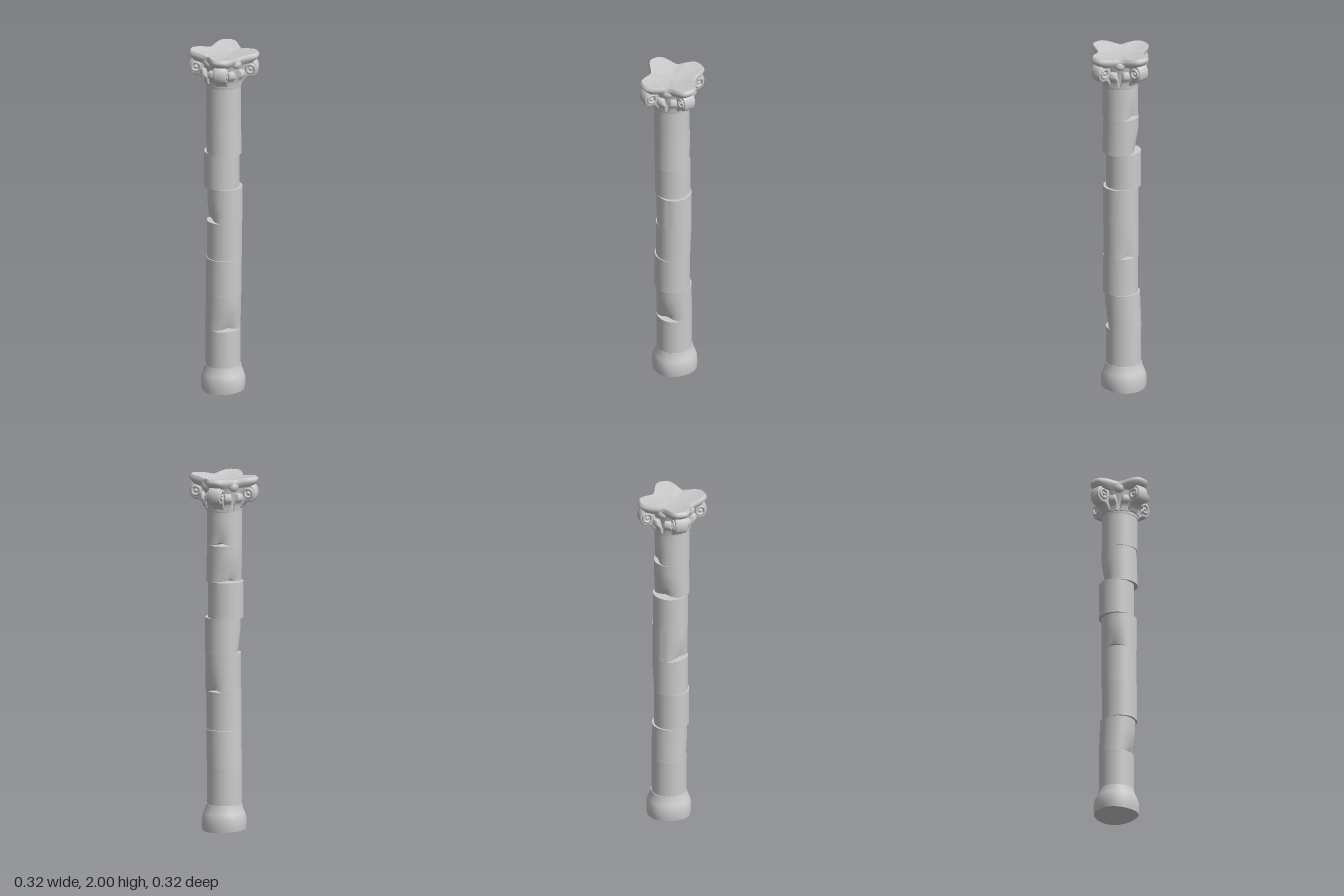
import * as THREE from 'three';
import { toCreasedNormals } from 'three/addons/utils/BufferGeometryUtils.js';

const material = new THREE.MeshStandardMaterial({ color: 0xcccccc, side: THREE.DoubleSide });

function addMesh(parent, name, geometry, crease = 0.7) {
  const mesh = new THREE.Mesh(toCreasedNormals(geometry, crease), material);
  mesh.name = name;
  parent.add(mesh);
  return mesh;
}

// Move every vertex of a geometry by a rule
function reshape(geometry, rule) {
  const p = geometry.attributes.position;
  const v = new THREE.Vector3();
  for (let i = 0; i < p.count; i++) {
    v.fromBufferAttribute(p, i);
    rule(v);
    p.setXYZ(i, v.x, v.y, v.z);
  }
  return geometry;
}

const angleGap = (a, b) => Math.abs(Math.atan2(Math.sin(a - b), Math.cos(a - b)));

// One stone drum: it may lean from its bottom centre to its top centre, with a worn rim
function addDrum(parent, index, { y, x, z, chip }) {
  const h = y[1] - y[0];
  const geometry = new THREE.CylinderGeometry(0.098, 0.098, h, 32, 6);
  reshape(geometry, (v) => {
    const t = v.y / h + 0.5;
    const r = Math.hypot(v.x, v.z);
    if (chip && r > 0.05) {
      const a = Math.atan2(v.z, v.x);
      const end = chip.top ? 1 - t : t;
      const w = Math.max(0, 1 - angleGap(a, chip.angle) / chip.width) * Math.max(0, 1 - end / 0.6);
      const k = 1 - w * chip.depth / r;
      v.x *= k;
      v.z *= k;
      if (end < 0.01) v.y += (chip.top ? -1 : 1) * w * 0.02;
    }
    v.x += THREE.MathUtils.lerp(x[0], x[1], t);
    v.z += z;
    v.y += y[0] + h / 2;
  });
  addMesh(parent, `drum${index + 1}`, geometry);
}

// Plan of the abacus: concave sides and blunt corners
function abacusRadius(a) {
  return Math.min(0.196, 0.13 + 0.075 * Math.pow(Math.abs(Math.sin(2 * a)), 2.5));
}

function addCapital(parent) {
  const capital = new THREE.Group();
  capital.name = 'capital';
  parent.add(capital);

  // Bell flaring out of the shaft
  const bell = [[0, 1.8], [0.099, 1.8], [0.103, 1.815], [0.1, 1.83], [0.104, 1.87], [0.115, 1.92], [0.125, 1.96]];
  addMesh(capital, 'bell', new THREE.LatheGeometry(bell.map((p) => new THREE.Vector2(...p)), 32));

  // Abacus with a hollowed, uneven top
  const rim = [[0.5, 1.94], [0.86, 1.945], [0.93, 1.96], [1, 1.975], [1, 1.988], [0.94, 2], [0.75, 1.994], [0.4, 1.982], [0, 1.978]];
  const abacus = new THREE.LatheGeometry(rim.map((p) => new THREE.Vector2(...p)), 64);
  reshape(abacus, (v) => {
    const s = Math.hypot(v.x, v.z);
    const a = Math.atan2(v.z, v.x);
    const corner = Math.abs(Math.sin(2 * a));
    v.y -= (1 - corner) * 0.016 * s;
    if (v.y > 1.97) v.y -= 0.006 * s * (1 - s) * Math.sin(3 * a);
    v.x *= abacusRadius(a);
    v.z *= abacusRadius(a);
  });
  addMesh(capital, 'abacus', abacus, 0.9);

  // Side outline of a corner volute, drawn as distance from the axis and height
  const voluteShape = new THREE.Shape();
  voluteShape.moveTo(0.08, 1.825);
  voluteShape.lineTo(0.105, 1.828);
  voluteShape.quadraticCurveTo(0.125, 1.868, 0.15, 1.866);
  voluteShape.bezierCurveTo(0.175, 1.862, 0.188, 1.885, 0.186, 1.915);
  voluteShape.quadraticCurveTo(0.182, 1.945, 0.16, 1.95);
  voluteShape.lineTo(0.08, 1.955);
  const voluteSolid = new THREE.ExtrudeGeometry(voluteShape, {
    depth: 0.044, bevelThickness: 0.012, bevelSize: 0.008, bevelSegments: 3, curveSegments: 8,
  }).translate(0, 0, -0.022);

  // Side outline of a leaf with a curled tip
  const leafShape = new THREE.Shape();
  leafShape.moveTo(0.085, 1.815);
  leafShape.lineTo(0.103, 1.82);
  leafShape.quadraticCurveTo(0.108, 1.865, 0.126, 1.868);
  leafShape.quadraticCurveTo(0.137, 1.88, 0.128, 1.9);
  leafShape.lineTo(0.095, 1.91);
  const leafSolid = new THREE.ExtrudeGeometry(leafShape, {
    depth: 0.036, bevelThickness: 0.01, bevelSize: 0.004, bevelSegments: 2, curveSegments: 6,
  }).translate(0, 0, -0.018);
  reshape(leafSolid, (v) => { v.z *= 1 - 0.4 * (v.y - 1.815) / 0.1; });

  for (let i = 0; i < 4; i++) {
    const corner = new THREE.Group();
    corner.name = 'cornerVolute';
    corner.rotation.y = Math.PI / 4 + i * Math.PI / 2;
    capital.add(corner);
    addMesh(corner, 'volute', voluteSolid, 0.9);
    for (const side of [-1, 1]) {
      const curl = addMesh(corner, 'voluteCurl', new THREE.TorusGeometry(0.024, 0.008, 6, 18), 1.5);
      curl.position.set(0.153, 1.908, side * 0.034);
      const eye = addMesh(corner, 'voluteEye', new THREE.SphereGeometry(0.009, 10, 8), 1.5);
      eye.position.set(0.153, 1.908, side * 0.034);
    }

    const face = new THREE.Group();
    face.name = 'sideOrnament';
    face.rotation.y = i * Math.PI / 2;
    capital.add(face);
    for (const side of [-1, 1]) {
      const leaf = addMesh(face, 'leaf', leafSolid, 0.8);
      leaf.rotation.y = side * 0.3;
    }
    const boss = addMesh(face, 'boss', new THREE.SphereGeometry(1, 14, 10), 1.5);
    boss.scale.set(0.022, 0.028, 0.03);
    boss.position.set(0.115, 1.948, 0);
  }
}

export function createModel() {
  const column = new THREE.Group();
  column.name = 'column';

  // Flared base, slightly worn out of round
  const profile = [[0, 0.004], [0.122, 0.004], [0.125, 0.03], [0.124, 0.075], [0.116, 0.1], [0.105, 0.125], [0.1, 0.15], [0, 0.15]];
  const base = new THREE.LatheGeometry(profile.map((p) => new THREE.Vector2(...p)), 32);
  reshape(base, (v) => {
    const a = Math.atan2(v.z, v.x);
    const wear = 1 + 0.018 * Math.cos(4 * a) * (1 - v.y / 0.15);
    if (v.y < 0.01) v.y = 0.004 + 0.004 * Math.cos(2 * a + 1) * Math.hypot(v.x, v.z) / 0.122;
    v.x = v.x * wear - 0.021;
    v.z = v.z * wear - 0.01;
  });
  addMesh(column, 'base', base);

  // Shaft of shifted drums, some with a broken rim
  const drums = [
    { y: [0.14, 0.362], x: [-0.02, -0.02], z: -0.008 },
    { y: [0.36, 0.57], x: [-0.021, -0.013], z: -0.008, chip: { angle: 0.3, width: 1, depth: 0.025 } },
    { y: [0.57, 0.785], x: [-0.003, -0.003], z: -0.001 },
    { y: [0.785, 1], x: [-0.006, -0.006], z: -0.008, chip: { angle: -2, width: 0.6, depth: 0.012 } },
    { y: [1, 1.2], x: [-0.005, -0.005], z: -0.01, chip: { angle: 1.9, width: 0.9, depth: 0.02 } },
    { y: [1.2, 1.405], x: [-0.019, -0.019], z: 0.001 },
    { y: [1.4, 1.61], x: [0, -0.006], z: 0, chip: { angle: Math.PI, width: 1.1, depth: 0.022 } },
    { y: [1.61, 1.805], x: [-0.002, -0.002], z: 0.002, chip: { angle: -2.4, width: 0.6, depth: 0.015 } },
  ];
  drums.forEach((drum, i) => addDrum(column, i, drum));

  addCapital(column);
  return column;
}
